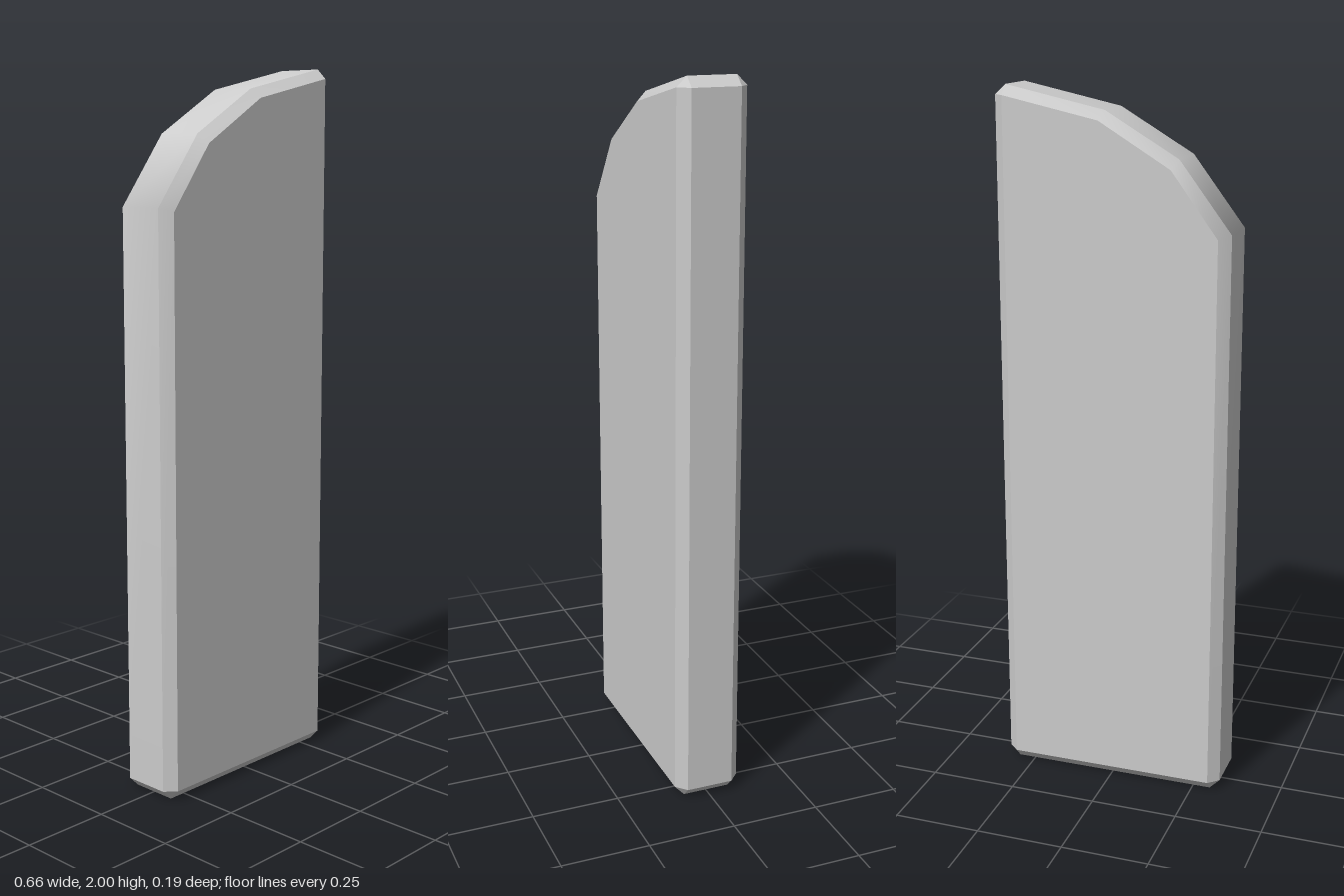
import * as THREE from 'three';
import { mergeGeometries } from 'three/addons/utils/BufferGeometryUtils.js';

// Outline clockwise from the lower left: [outer x, outer y, bevelled face x, face y]
const OUTLINE = [
  [-0.33, 0.03, -0.30, 0.03],
  [-0.33, 1.63, -0.30, 1.62],
  [-0.185, 1.82, -0.17, 1.795],
  [0.02, 1.94, 0.03, 1.915],
  [0.30, 2.00, 0.30, 1.973],
  [0.33, 1.973, 0.30, 1.973],
  [0.33, 0.03, 0.30, 0.03],
  [0.30, 0.00, 0.30, 0.03],
  [-0.30, 0.00, -0.30, 0.03],
];
const SMOOTH_END = 4; // wall and curved top share normals up to this point
const FACE_Z = 0.095, RIM_Z = 0.067;

// Strip between two rings along the given point indices
function strip(ringA, ringB, indices) {
  const pos = [], index = [];
  indices.forEach((k, i) => {
    pos.push(...ringA[k], ...ringB[k]);
    if (i > 0) {
      const a = 2 * i - 2;
      index.push(a, a + 2, a + 1, a + 2, a + 3, a + 1);
    }
  });
  const g = new THREE.BufferGeometry();
  g.setAttribute('position', new THREE.Float32BufferAttribute(pos, 3));
  g.setIndex(index);
  g.computeVertexNormals();
  return g;
}

// Flat cap filling a convex ring
function cap(ring, front) {
  const index = [];
  for (let i = 1; i < ring.length - 1; i++) index.push(0, ...(front ? [i + 1, i] : [i, i + 1]));
  const g = new THREE.BufferGeometry();
  g.setAttribute('position', new THREE.Float32BufferAttribute(ring.flat(), 3));
  g.setIndex(index);
  g.computeVertexNormals();
  return g;
}

export function createModel() {
  const outer = z => OUTLINE.map(p => [p[0], p[1], z]);
  const inner = z => OUTLINE.map(p => [p[2], p[3], z]);
  const rings = [inner(FACE_Z), outer(RIM_Z), outer(-RIM_Z), inner(-FACE_Z)];
  const n = OUTLINE.length;
  const parts = [cap(rings[0], true), cap(rings[3], false)];

  // Front bevel, rim and back bevel
  for (let r = 0; r < 3; r++) {
    const run = Array.from({ length: SMOOTH_END + 1 }, (_, i) => i);
    parts.push(strip(rings[r], rings[r + 1], run));
    for (let i = SMOOTH_END; i < n; i++) {
      parts.push(strip(rings[r], rings[r + 1], [i, (i + 1) % n]));
    }
  }

  const slab = new THREE.Mesh(
    mergeGeometries(parts),
    new THREE.MeshStandardMaterial({ color: 0xcccccc })
  );
  slab.name = 'bevelledSlab';
  const model = new THREE.Group();
  model.name = 'curvedTopSlab';
  model.add(slab);
  return model;
}
